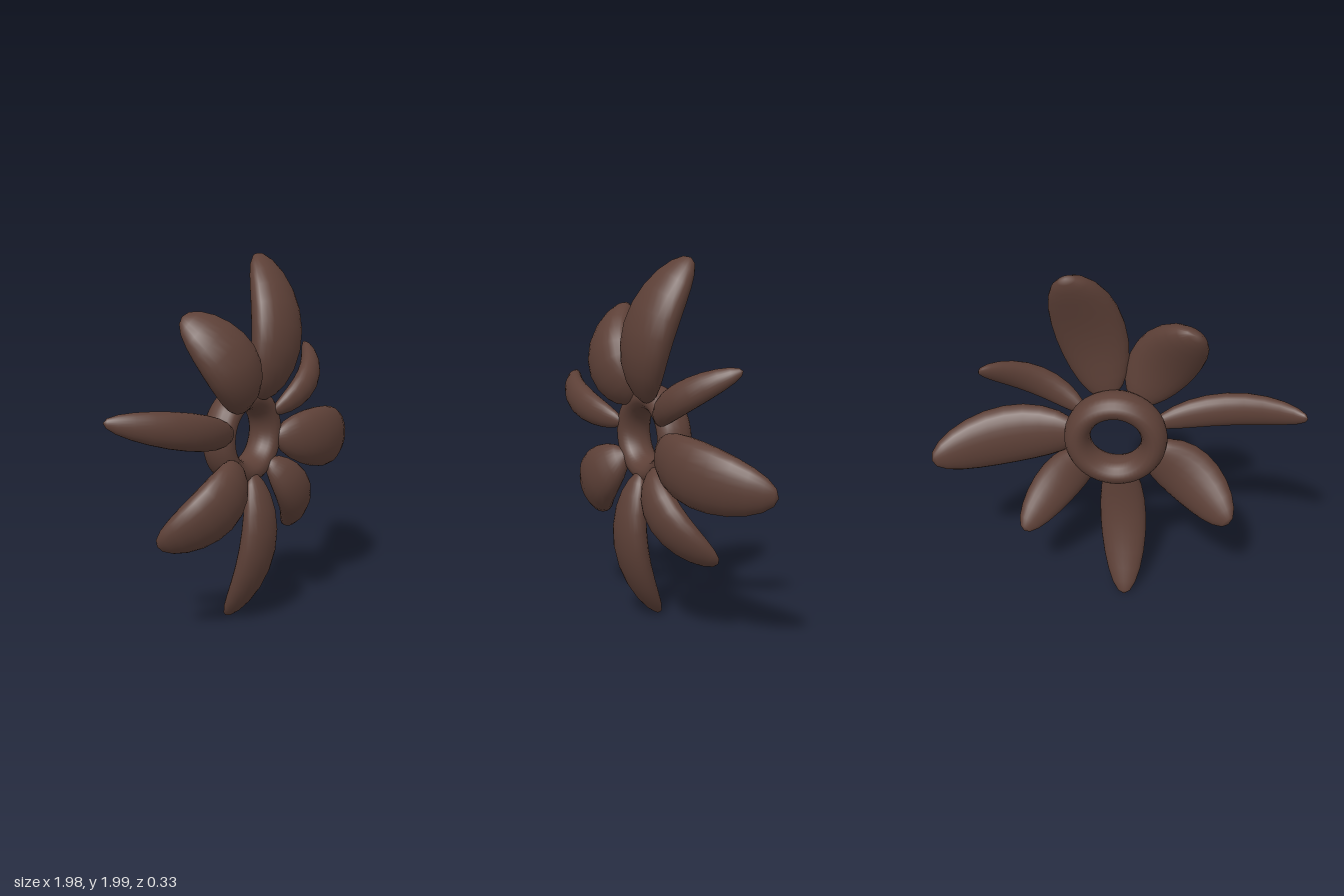
import * as THREE from 'three';
import { mergeVertices } from 'three/addons/utils/BufferGeometryUtils.js';

const HUB_Y = 1.03;
const BASE_RADIUS = 0.2;

// Each petal: angle in degrees, tip radius, full width
const PETALS = [
  [76, 0.98, 0.37],
  [121, 0.78, 0.36],
  [167.5, 1.01, 0.19],
  [218, 0.79, 0.33],
  [267, 1.03, 0.26],
  [310, 0.79, 0.26],
  [351, 1.0, 0.35],
  [31, 0.81, 0.165],
];

// An ellipsoid bent backwards along an arched midline, lying along +x
function petalGeometry(tipRadius, width) {
  let geo = new THREE.SphereGeometry(1, 24, 12);
  geo.rotateZ(-Math.PI / 2);
  geo.deleteAttribute('uv');
  geo.deleteAttribute('normal');
  geo = mergeVertices(geo, 1e-4);

  const length = tipRadius - BASE_RADIUS;
  const halfThickness = 0.02 + width * 0.23;
  const pos = geo.attributes.position;
  for (let i = 0; i < pos.count; i++) {
    const s = (pos.getX(i) + 1) / 2;
    const k = (s - 0.35) / 0.65;
    const midZ = 0.065 - 0.21 * k * k;
    const slope = (-0.42 * k) / 0.65 / length;
    const n = 1 / Math.hypot(1, slope);
    const d = pos.getZ(i) * halfThickness;
    pos.setXYZ(
      i,
      BASE_RADIUS + length * s - slope * n * d,
      (pos.getY(i) * width) / 2,
      midZ + n * d
    );
  }
  geo.computeVertexNormals();
  return geo;
}

export function createModel() {
  const model = new THREE.Group();
  model.name = 'flower';
  const brown = new THREE.MeshStandardMaterial({ color: 0x5d4037 });
  brown.name = 'dark brown';

  // Central ring, deeper than it is wide
  const ring = new THREE.Mesh(new THREE.TorusGeometry(0.205, 0.07, 16, 48), brown);
  ring.name = 'centreRing';
  ring.scale.z = 1.4;
  ring.position.set(0, HUB_Y, -0.07);
  model.add(ring);

  // Petals around the ring
  PETALS.forEach(([angle, tipRadius, width], i) => {
    const petal = new THREE.Mesh(petalGeometry(tipRadius, width), brown);
    petal.name = `petal${i + 1}`;
    petal.position.y = HUB_Y;
    petal.rotation.z = THREE.MathUtils.degToRad(angle);
    model.add(petal);
  });

  return model;
}
